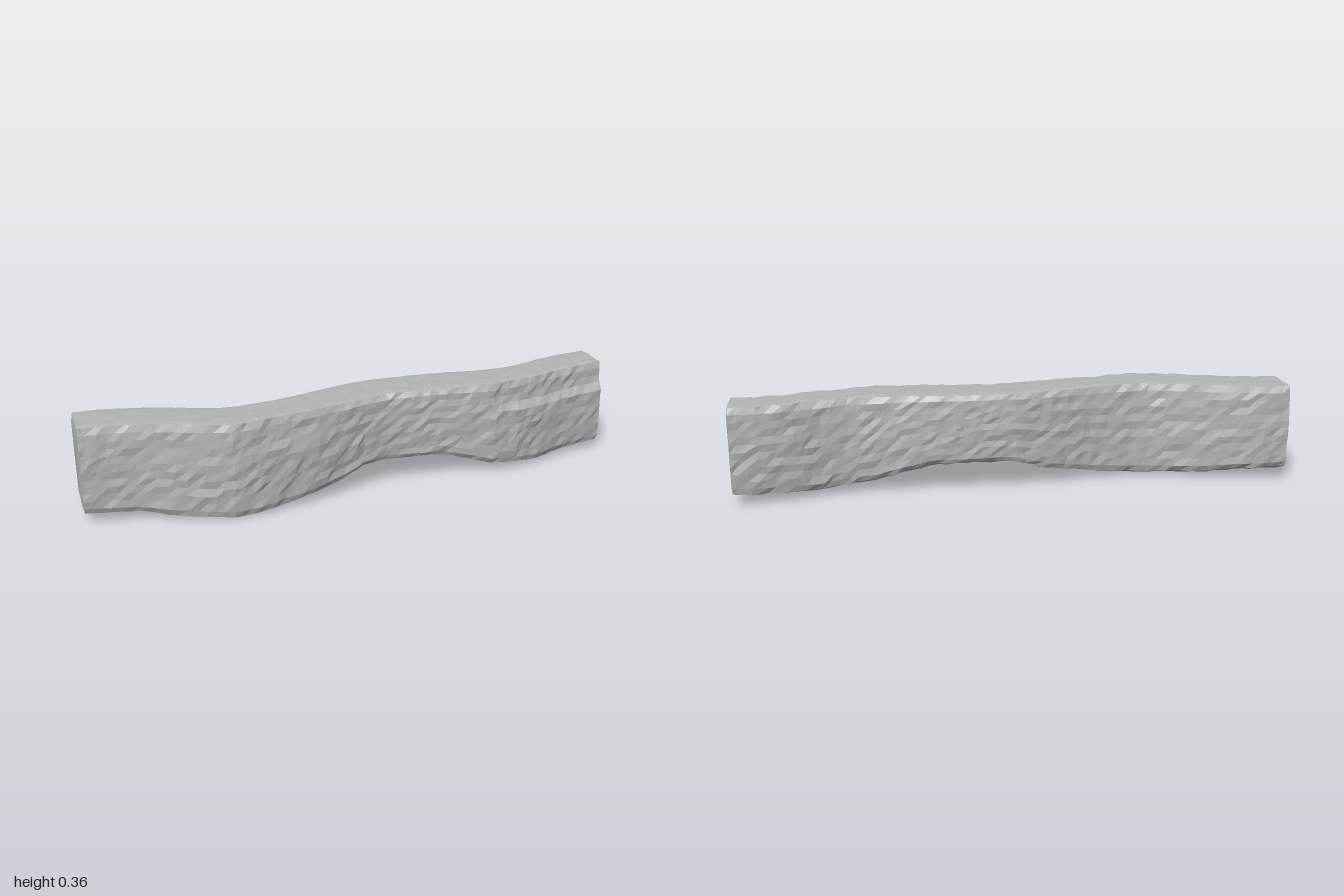
import * as THREE from 'three';

// Outlines along the length, as [x, value] pairs
const FRONT = [[-1, .03], [-.9, .04], [-.8, .055], [-.7, .09], [-.6, .13], [-.5, .158], [-.4, .155], [-.2, .125],
  [0, .075], [.1, .06], [.3, .075], [.5, .1], [.6, .095], [.7, .075], [.8, .045], [.9, .025], [1, .012]];
const BACK = [[-1, -.14], [-.9, -.138], [-.8, -.115], [-.7, -.085], [-.6, -.05], [-.5, -.02], [-.45, -.016], [-.3, -.035],
  [-.2, -.06], [0, -.108], [.1, -.113], [.3, -.105], [.5, -.08], [.6, -.08], [.7, -.1], [.8, -.133], [.9, -.152], [1, -.16]];
const BOTTOM = [[-1, .04], [-.8, .03], [-.7, .015], [-.5, .005], [-.4, .01], [-.2, .04], [-.1, .06], [0, .095],
  [.05, .1], [.3, .095], [.4, .07], [.5, .04], [.7, .02], [.8, .028], [1, .035]];

// Smoothed lookup in an outline
function sample(table, x) {
  let i = 0;
  while (i < table.length - 2 && x > table[i + 1][0]) i++;
  const [x0, a] = table[i], [x1, b] = table[i + 1];
  return THREE.MathUtils.lerp(a, b, THREE.MathUtils.clamp((x - x0) / (x1 - x0), 0, 1));
}

// Repeatable roughness in -1..1, equal for equal grid points
function rough(a, b, c) {
  const s = Math.sin(a * 91.7 + b * 47.3 + c * 73.1) * 4375.85;
  return (s - Math.floor(s)) * 2 - 1;
}

const step = THREE.MathUtils.smoothstep;

export function createModel() {
  const group = new THREE.Group();
  const stone = new THREE.MeshStandardMaterial({ color: 0xb4b4b4, flatShading: true });

  // A subdivided block bent into a wavy wall section
  const geometry = new THREE.BoxGeometry(2, 1, 1, 64, 12, 6);
  const p = geometry.attributes.position;
  for (let i = 0; i < p.count; i++) {
    const x = p.getX(i), v = p.getY(i) + .5, w = p.getZ(i) + .5;
    const key = [Math.round(x * 32), Math.round(v * 12), Math.round(w * 6)];
    const end = Math.abs(x) > .999, low = v < .001, high = v > .999;
    const edgeZ = w < .001 || w > .999;

    // Shallow worn band below the top of the front face
    let front = sample(FRONT, x);
    const recess = .022 * step(x, .4, .6) + .009 * step(x, -.45, -.38) * (1 - step(x, -.2, -.05));
    front += .004 * Math.sin(v * Math.PI) - recess * step(v, .68, .78);
    let back = sample(BACK, x) - .005 * Math.sin(v * Math.PI);

    // Uneven underside with a lengthwise groove
    let bottom = sample(BOTTOM, x);
    bottom += .014 * Math.exp(-(((w - .45) / .14) ** 2)) + .01 * (1 - step(w, 0, .3));
    const top = .362 + .002 * Math.sin(x * 6);

    let y = THREE.MathUtils.lerp(bottom, top, v);
    let z = THREE.MathUtils.lerp(back, front, w);

    // Chipped surface and softened corners
    if (edgeZ) z += .0035 * rough(...key);
    if (low) y += .003 * (1 + rough(...key));
    if (high) y += .002 * rough(...key);
    if (edgeZ && (low || high)) {
      z += w > .5 ? -.007 : .007;
      y += low ? .004 : -.003;
    }
    const inset = end && (edgeZ || low || high) ? .005 : 0;
    const slide = end ? 0 : .006 * rough(key[1], key[0], key[2]);
    p.setXYZ(i, x - Math.sign(x) * inset + slide, y, z);
  }
  // Rest on the ground, centred front to back
  geometry.computeBoundingBox();
  const box = geometry.boundingBox;
  geometry.translate(0, -box.min.y, -(box.min.z + box.max.z) / 2);
  geometry.computeVertexNormals();

  const wall = new THREE.Mesh(geometry, stone);
  wall.name = 'wavyStoneBlock';
  group.add(wall);
  return group;
}
